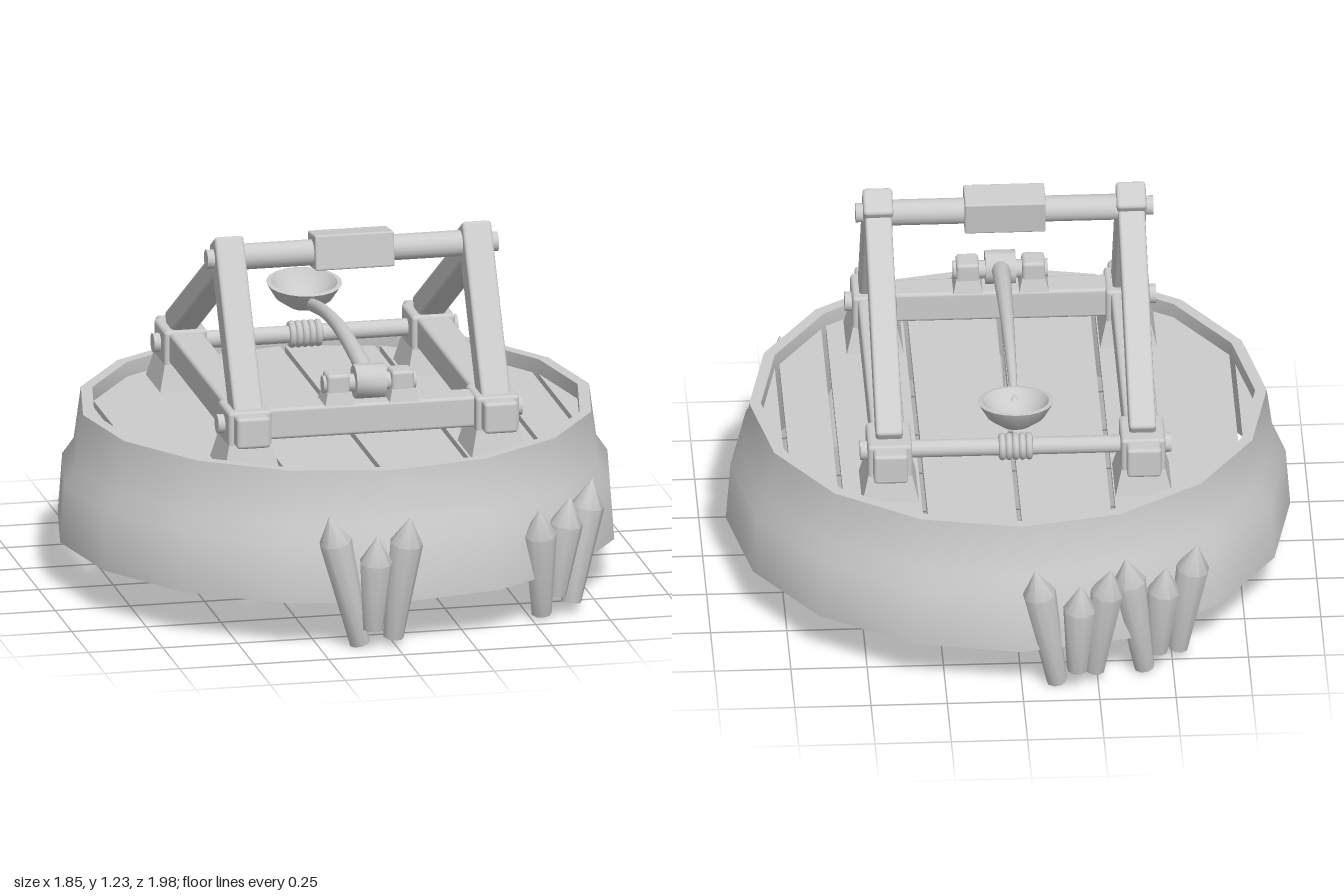
import * as THREE from 'three';
import { toCreasedNormals } from 'three/addons/utils/BufferGeometryUtils.js';
import { RoundedBoxGeometry } from 'three/addons/geometries/RoundedBoxGeometry.js';

const mat = new THREE.MeshStandardMaterial({ color: 0xcccccc });
const thin = new THREE.MeshStandardMaterial({ color: 0xcccccc, side: THREE.DoubleSide });
const V = (x, y, z) => new THREE.Vector3(x, y, z);
const profile = (pts) => pts.map(([r, y]) => new THREE.Vector2(r, y));

export function createModel() {
  const root = new THREE.Group();
  const add = (name, geo, x = 0, y = 0, z = 0, material = mat) => {
    const m = new THREE.Mesh(geo, material);
    m.name = name;
    m.position.set(x, y, z);
    root.add(m);
    return m;
  };
  const box = (name, w, h, d, x, y, z, r = 0.012) =>
    add(name, new RoundedBoxGeometry(w, h, d, 2, r), x, y, z);
  // Cylinder lying along x
  const rod = (name, r, len, x, y, z, sides = 16) => {
    const g = toCreasedNormals(new THREE.CylinderGeometry(r, r, len, sides), 0.9);
    return add(name, g.rotateZ(Math.PI / 2), x, y, z);
  };
  // Square beam between two points in a plane of constant x
  const beam = (name, w, t, x, [z0, y0], [z1, y1]) => {
    const m = box(name, w, Math.hypot(z1 - z0, y1 - y0), t, x, (y0 + y1) / 2, (z0 + z1) / 2);
    m.rotation.x = Math.atan2(z1 - z0, y1 - y0);
  };
  // Block foot that widens downwards
  const flaredFoot = (name, w, d, flare, h, x, y, z) => {
    const g = new THREE.CylinderGeometry(Math.SQRT1_2, Math.SQRT1_2 * flare, h, 4).rotateY(Math.PI / 4);
    add(name, toCreasedNormals(g.scale(w, 1, d), 0.5), x, y, z);
  };

  // Sixteen-sided base wall, hollow underneath
  const cz = -0.015;
  const wall = new THREE.LatheGeometry(profile([
    [0.925, 0.155], [0.91, 0.355], [0.872, 0.41], [0.848, 0.585],
    [0.81, 0.585], [0.81, 0.5], [0.92, 0.155],
  ]), 16);
  add('baseWall', toCreasedNormals(wall, 0.7), 0, 0, cz, thin);

  // Deck planks cut to the outline of the wall
  const deckR = 0.815;
  const rim = Array.from({ length: 9 }, (_, k) => {
    const a = (k - 4) * Math.PI / 8;
    return [deckR * Math.sin(a), deckR * Math.cos(a)];
  });
  const halfDepth = (x) => {
    const i = Math.max(1, rim.findIndex((p) => p[0] >= x - 1e-6));
    const [a, b] = [rim[i - 1], rim[i]];
    return a[1] + (b[1] - a[1]) * (x - a[0]) / (b[0] - a[0]);
  };
  const seams = [-0.822, -0.75, -0.31, 0, 0.305, 0.575, 0.74, 0.822];
  for (let i = 0; i < seams.length - 1; i++) {
    const x0 = seams[i] + 0.008, x1 = seams[i + 1] - 0.008;
    const xs = [x0, ...rim.map((p) => p[0]).filter((x) => x > x0 && x < x1), x1];
    const edge = xs.map((x) => new THREE.Vector2(x, halfDepth(x)));
    const back = xs.map((x) => new THREE.Vector2(x, -halfDepth(x))).reverse();
    const g = new THREE.ExtrudeGeometry(new THREE.Shape([...edge, ...back]), { depth: 0.025, bevelEnabled: false });
    add('deckPlank', g.rotateX(-Math.PI / 2), 0, 0.51, cz);
  }

  // Two side frames: rail, corner blocks, raked post and rear brace
  for (const s of [1, -1]) {
    const x = s * 0.415;
    box('sideRail', 0.112, 0.105, 1.25, x, 0.674, -0.005);
    beam('rakedPost', 0.098, 0.1, x, [0.5, 0.7], [0.198, 1.217]);
    beam('rearBrace', 0.088, 0.085, x, [0.205, 1.14], [-0.52, 0.725]);
    rod('topBolt', 0.032, 0.03, s * 0.473, 1.16, 0.22);
    for (const z of [0.48, -0.49]) {
      box('cornerBlock', 0.145, 0.145, 0.17, x, 0.66, z);
      flaredFoot('cornerFoot', 0.145, 0.17, 1.3, 0.09, x, 0.575, z);
      rod('cornerBolt', 0.032, 0.03, s * 0.495, 0.674, z);
    }
  }

  // Cross members
  box('frontBeam', 0.76, 0.105, 0.105, 0, 0.674, 0.475);
  rod('rearAxle', 0.029, 0.8, 0, 0.674, -0.49);
  for (let i = -2; i <= 2; i++) {
    const ring = new THREE.TorusGeometry(0.034, 0.012, 8, 18).rotateY(Math.PI / 2);
    add('ropeCoil', ring, i * 0.022, 0.674, -0.49);
  }
  rod('topBar', 0.043, 0.8, 0, 1.16, 0.215);
  box('stopPad', 0.265, 0.117, 0.117, 0, 1.165, 0.215, 0.006).rotation.x = -0.12;

  // Pivot of the throwing arm
  rod('pivotHub', 0.057, 0.1, 0, 0.79, 0.48, 10);
  rod('pivotAxle', 0.03, 0.31, 0, 0.785, 0.475, 12);
  for (const s of [1, -1]) {
    box('pivotBearing', 0.075, 0.1, 0.085, s * 0.108, 0.775, 0.475);
    flaredFoot('pivotFoot', 0.078, 0.09, 1.25, 0.04, s * 0.108, 0.745, 0.475);
  }

  // Curved tapering arm
  const curve = new THREE.CatmullRomCurve3([
    V(0, 0.795, 0.49), V(0, 0.825, 0.3), V(0, 0.845, 0.03), V(0, 0.832, -0.2), V(0, 0.795, -0.42),
  ]);
  const steps = 24, sides = 10;
  const arm = new THREE.TubeGeometry(curve, steps, 1, sides);
  const pos = arm.attributes.position, p = new THREE.Vector3();
  for (let i = 0; i < pos.count; i++) {
    const t = Math.floor(i / (sides + 1)) / steps;
    const c = curve.getPointAt(t);
    p.fromBufferAttribute(pos, i).sub(c);
    p.x *= 0.032 - 0.02 * t;
    p.y *= 0.03 - 0.008 * t;
    p.z *= 0.03 - 0.008 * t;
    pos.setXYZ(i, p.x, p.y + c.y, p.z + c.z);
  }
  add('throwingArm', arm, 0, 0, 0, thin);

  // Shallow bowl at the end of the arm
  const bowl = new THREE.LatheGeometry(profile([
    [0, -0.09], [0.05, -0.082], [0.095, -0.05], [0.125, 0], [0.11, 0.002],
    [0.08, -0.04], [0.045, -0.065], [0, -0.072],
  ]), 20);
  add('bowl', toCreasedNormals(bowl, 0.9), 0, 0.848, -0.495, thin).rotation.x = 0.12;

  // Sharpened stakes: tip x, y, z then foot x, y, z
  const stakes = [
    [-0.23, 0.467, 0.92, -0.115, 0.012, 0.86], [-0.075, 0.4, 0.95, -0.08, 0.07, 0.9],
    [0.035, 0.457, 0.95, -0.005, 0.03, 0.87],
    [0.51, 0.4, 0.765, 0.535, 0.02, 0.675], [0.625, 0.42, 0.71, 0.585, 0.08, 0.67],
    [0.715, 0.457, 0.64, 0.645, 0.04, 0.625],
    [-0.04, 0.467, -0.95, -0.115, 0.012, -0.88], [-0.19, 0.41, -0.955, -0.18, 0.07, -0.91],
    [-0.29, 0.457, -0.94, -0.24, 0.04, -0.86],
    [-0.34, 0.467, -0.885, -0.405, 0.015, -0.81], [-0.475, 0.41, -0.85, -0.45, 0.07, -0.8],
    [-0.58, 0.457, -0.79, -0.52, 0.04, -0.73],
  ];
  for (const [tx, ty, tz, fx, fy, fz] of stakes) {
    const foot = V(fx, fy, fz), axis = V(tx, ty, tz).sub(foot), len = axis.length();
    const g = new THREE.LatheGeometry(profile([
      [0, 0], [0.034, 0], [0.055, len - 0.095], [0, len],
    ]), 9);
    const m = add('stake', toCreasedNormals(g, 0.75), fx, fy, fz);
    m.quaternion.setFromUnitVectors(V(0, 1, 0), axis.normalize());
  }
  return root;
}
